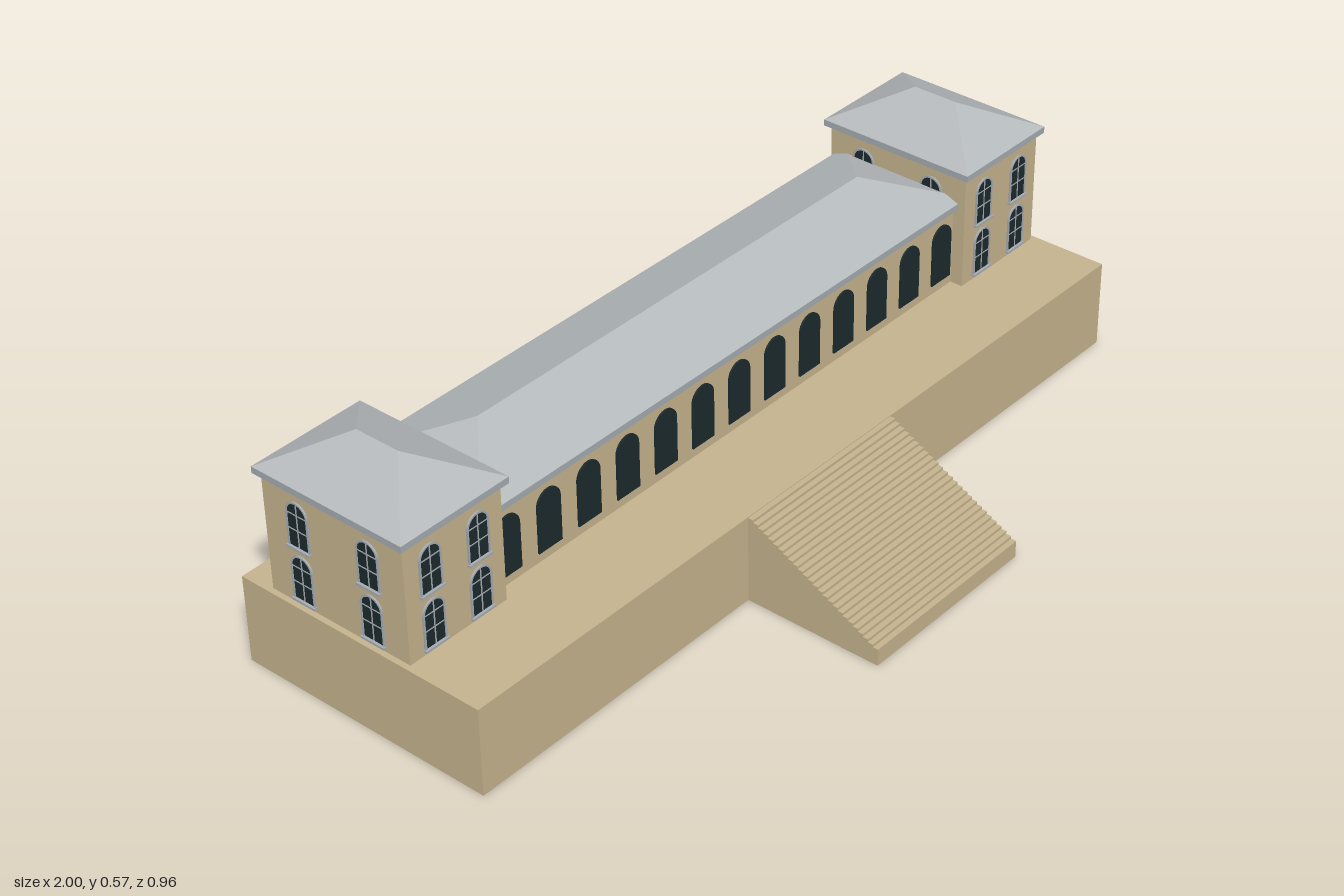
import * as THREE from 'three';

const mat = (name, color, side = THREE.FrontSide) => {
  const m = new THREE.MeshStandardMaterial({ color, side });
  m.name = name;
  return m;
};

export function createModel() {
  const stone = mat('sandstone', 0xc6b48e, THREE.DoubleSide);
  const slate = mat('slate', 0xb5babd);
  const trim = mat('trim', 0xa6acb2);
  const glass = mat('dark glass', 0x1c2a2c);
  const model = new THREE.Group();
  model.name = 'palace';

  const add = (parent, name, geometry, material, x = 0, y = 0, z = 0) => {
    const mesh = new THREE.Mesh(geometry, material);
    mesh.name = name;
    mesh.position.set(x, y, z);
    parent.add(mesh);
    return mesh;
  };
  const box = (parent, name, w, h, d, material, x, y, z) =>
    add(parent, name, new THREE.BoxGeometry(w, h, d), material, x, y, z);

  // Round-headed outline, standing on y = 0
  const arch = (Type, w, h) => {
    const r = w / 2;
    const p = new Type();
    p.moveTo(-r, 0);
    p.lineTo(r, 0);
    p.lineTo(r, h - r);
    p.absarc(0, h - r, r, 0, Math.PI, false);
    p.closePath();
    return p;
  };
  const plate = (shape, depth) =>
    new THREE.ExtrudeGeometry(shape, { depth, bevelEnabled: false, curveSegments: 12 });

  // Hipped roof on a thin eave slab; the ridge follows the longer side
  const hipRoof = (parent, name, hx, hz, eave, top) => {
    const g = new THREE.Group();
    g.name = name;
    parent.add(g);
    box(g, 'eave', 2 * hx, 0.015, 2 * hz, trim, 0, eave - 0.0075, 0);
    const rx = Math.max(hx - hz, 0), rz = Math.max(hz - hx, 0);
    const a = [-hx, eave, hz], b = [hx, eave, hz], c = [hx, eave, -hz], d = [-hx, eave, -hz];
    const A = [-rx, top, rz], B = [rx, top, rz], C = [rx, top, -rz], D = [-rx, top, -rz];
    const corners = [];
    for (const [p, q, r, s] of [[a, b, B, A], [b, c, C, B], [c, d, D, C], [d, a, A, D]]) {
      if (r.join() !== s.join()) corners.push(p, q, r, p, r, s);
      else corners.push(p, q, r);
    }
    const geo = new THREE.BufferGeometry();
    geo.setAttribute('position', new THREE.Float32BufferAttribute(corners.flat(), 3));
    geo.computeVertexNormals();
    add(g, 'slopes', geo, slate);
    return g;
  };

  // Terrace, open underneath
  const terraceGeo = new THREE.BoxGeometry(2, 0.207, 0.63);
  const index = Array.from(terraceGeo.index.array);
  index.splice(18, 6);
  terraceGeo.setIndex(index);
  terraceGeo.clearGroups();
  add(model, 'terrace', terraceGeo, stone, 0, 0.1035, -0.165);

  // Grand stair: stepped side profile drawn across the width
  const steps = 26, zFront = 0.48, zBack = 0.15, yLow = 0.04, yHigh = 0.205;
  const profile = new THREE.Shape();
  profile.moveTo(-zBack, 0);
  profile.lineTo(-zFront, 0);
  for (let i = 0; i < steps; i++) {
    const y = yLow + (yHigh - yLow) * i / (steps - 1);
    profile.lineTo(-zFront + (zFront - zBack) * i / steps, y);
    profile.lineTo(-zFront + (zFront - zBack) * (i + 1) / steps, y);
  }
  profile.closePath();
  const stairGeo = plate(profile, 0.46);
  stairGeo.translate(0, 0, -0.23);
  add(model, 'stair', stairGeo, stone).rotation.y = Math.PI / 2;

  // Central hall with its row of arched front windows
  const hall = new THREE.Group();
  hall.name = 'hall';
  model.add(hall);
  box(hall, 'hallWalls', 1.48, 0.193, 0.32, stone, 0, 0.3, -0.227);
  const hallRoof = hipRoof(hall, 'hallRoof', 0.762, 0.172, 0.41, 0.476);
  hallRoof.position.z = -0.227;
  const hallGlass = plate(arch(THREE.Shape, 0.066, 0.14), 0.004);
  for (let i = -6; i <= 6; i++) add(hall, 'hallWindow', hallGlass, glass, i * 0.1143, 0.23, -0.067);

  // Tower window: glass, arched surround, glazing bars and sill, facing +z
  const W = 0.05, H = 0.102;
  const paneGeo = plate(arch(THREE.Shape, W, H), 0.002);
  const surround = arch(THREE.Shape, W + 0.008, H + 0.004);
  surround.holes.push(arch(THREE.Path, W, H));
  const surroundGeo = plate(surround, 0.004);
  const towerWindow = (parent, x, y) => {
    const g = new THREE.Group();
    g.name = 'towerWindow';
    g.position.set(x, y, 0);
    parent.add(g);
    add(g, 'pane', paneGeo, glass);
    add(g, 'surround', surroundGeo, trim);
    box(g, 'upright', 0.003, H, 0.003, trim, 0, H / 2, 0.0015);
    for (const h of [0.04, 0.076]) box(g, 'bar', W, 0.0025, 0.003, trim, 0, h, 0.0015);
    box(g, 'sill', 0.062, 0.005, 0.008, trim, 0, -0.0025, 0.004);
  };

  // Two corner towers, windows on all four sides
  const hx = 0.13, hz = 0.185;
  for (const side of [-1, 1]) {
    const tower = new THREE.Group();
    tower.name = side > 0 ? 'leftTower' : 'rightTower';
    tower.position.set(side * 0.857, 0, -0.221);
    model.add(tower);
    box(tower, 'towerWalls', 2 * hx, 0.275, 2 * hz, stone, 0, 0.343, 0);
    hipRoof(tower, 'towerRoof', 0.142, 0.197, 0.495, 0.567);
    for (let f = 0; f < 4; f++) {
      const face = new THREE.Group();
      face.name = 'towerFace';
      face.rotation.y = f * Math.PI / 2;
      const out = f % 2 ? hx : hz;
      face.position.set(Math.sin(face.rotation.y) * out, 0, Math.cos(face.rotation.y) * out);
      tower.add(face);
      const gap = f % 2 ? 0.093 : 0.063;
      for (const x of [-gap, gap]) for (const y of [0.221, 0.347]) towerWindow(face, x, y);
    }
  }
  return model;
}
